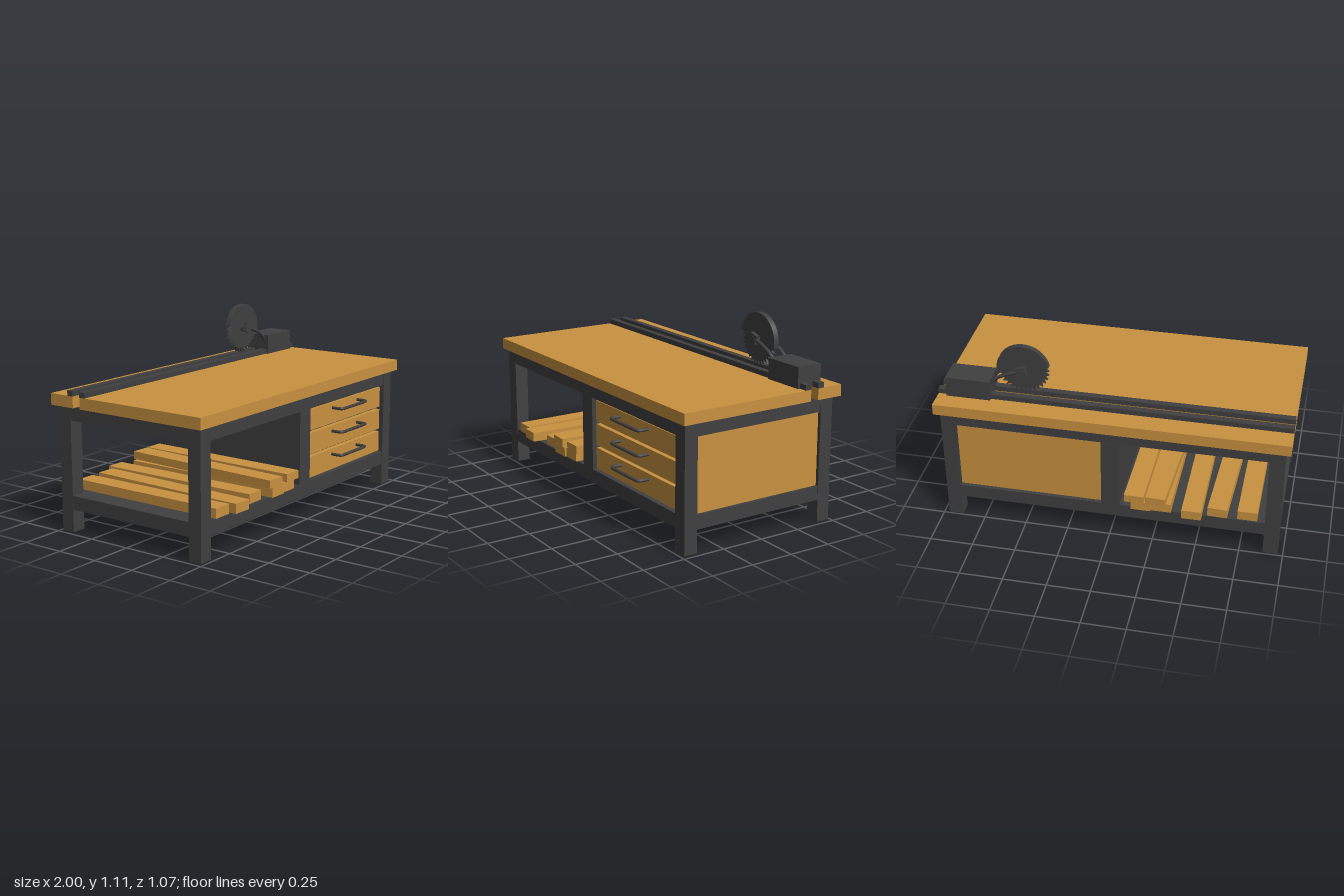
import * as THREE from 'three';

const wood = new THREE.MeshStandardMaterial({ color: 0xc99240 });
const dark = new THREE.MeshStandardMaterial({ color: 0x404040 });

function mesh(name, geometry, material, parent) {
  const m = new THREE.Mesh(geometry, material);
  m.name = name;
  parent.add(m);
  return m;
}

// Box given by its limits on each axis
function box(name, [x0, x1], [y0, y1], [z0, z1], material, parent) {
  const m = mesh(name, new THREE.BoxGeometry(x1 - x0, y1 - y0, z1 - z0), material, parent);
  m.position.set((x0 + x1) / 2, (y0 + y1) / 2, (z0 + z1) / 2);
  return m;
}

function group(name, parent) {
  const g = new THREE.Group();
  g.name = name;
  parent.add(g);
  return g;
}

// Extrusion centred on z = 0
function plate(shape, depth) {
  return new THREE.ExtrudeGeometry(shape, { depth, bevelEnabled: false, curveSegments: 32 })
    .translate(0, 0, -depth / 2);
}

function buildFrame(parent) {
  const frame = group('frame', parent);
  const depth = [-0.49, 0.48];
  for (const x of [[-0.97, -0.885], [0.885, 0.97]])
    for (const z of [[-0.49, -0.41], [0.4, 0.48]]) box('leg', x, [0, 0.715], z, dark, frame);
  box('lowerShelf', [-0.968, 0.968], [0.13, 0.21], [-0.488, 0.478], dark, frame);
  box('upperDeck', [-0.968, 0.968], [0.635, 0.714], [-0.488, 0.478], dark, frame);
  box('divider', [-0.055, 0.05], [0.21, 0.635], depth, dark, frame);
}

function buildCabinet(parent) {
  const cabinet = group('cabinet', parent);
  box('carcass', [0.05, 0.93], [0.21, 0.635], [-0.44, 0.43], dark, cabinet);
  box('sidePanel', [0.93, 0.95], [0.21, 0.635], [-0.41, 0.4], wood, cabinet);
  box('backPanel', [0.05, 0.885], [0.21, 0.635], [-0.465, -0.44], wood, cabinet);
  for (let i = 0; i < 3; i++) {
    const y = 0.28 + i * 0.14;
    const drawer = group('drawer', cabinet);
    box('drawerFront', [0.06, 0.872], [y - 0.062, y + 0.062], [0.43, 0.46], wood, drawer);
    // Bent bar handle
    const points = [[0.32, 0.45], [0.32, 0.505], [0.335, 0.525], [0.46, 0.526], [0.585, 0.525], [0.6, 0.505], [0.6, 0.45]]
      .map(([x, z]) => new THREE.Vector3(x, y + 0.03, z));
    const path = new THREE.CatmullRomCurve3(points, false, 'catmullrom', 0.3);
    mesh('drawerHandle', new THREE.TubeGeometry(path, 40, 0.009, 10), dark, drawer);
  }
}

function buildTop(parent) {
  const top = group('benchTop', parent);
  box('frontSlab', [-1, 1], [0.715, 0.78], [-0.313, 0.505], wood, top);
  box('backSlab', [-1, 1], [0.715, 0.78], [-0.522, -0.362], wood, top);
  for (const z of [[-0.4, -0.362], [-0.313, -0.276]]) box('sawRail', [-1, 1], [0.78, 0.81], z, dark, top);
}

function buildPlanks(parent) {
  const planks = group('planks', parent);
  // centre x, bottom, height, centre z, length, turn
  const list = [
    [-0.785, 0.21, 0.055, 0, 0.96, 0],
    [-0.635, 0.21, 0.055, 0.015, 1.0, -0.04],
    [-0.472, 0.21, 0.055, -0.035, 1.0, 0.005],
    [-0.298, 0.21, 0.055, 0, 1.0, 0],
    [-0.182, 0.21, 0.055, -0.01, 1.0, 0],
    [-0.293, 0.265, 0.047, -0.01, 1.02, -0.053],
    [-0.15, 0.265, 0.047, -0.01, 1.02, -0.012],
  ];
  for (const [x, y, h, z, length, turn] of list) {
    const p = mesh('plank', new THREE.BoxGeometry(0.112, h, length), wood, planks);
    p.position.set(x, y + h / 2, z);
    p.rotation.y = turn;
  }
}

function buildSaw(parent) {
  const saw = group('slidingSaw', parent);
  box('motorHousing', [0.695, 0.95], [0.78, 0.9], [-0.417, -0.262], dark, saw);

  const head = group('sawHead', saw);
  head.position.set(0.515, 0.963, -0.338);

  // Blade with raked teeth
  const teeth = 32;
  const blade = new THREE.Shape();
  for (let i = 0; i < teeth; i++) {
    const a = (i / teeth) * Math.PI * 2;
    const b = a + (Math.PI * 2 / teeth) * 0.85;
    if (i === 0) blade.moveTo(0.122, 0);
    else blade.lineTo(0.122 * Math.cos(a), 0.122 * Math.sin(a));
    blade.lineTo(0.148 * Math.cos(b), 0.148 * Math.sin(b));
  }
  blade.closePath();
  mesh('blade', plate(blade, 0.014), dark, head);

  // Half-round guard over the blade
  const guard = new THREE.Shape();
  guard.absarc(0, 0, 0.15, -0.22, Math.PI - 0.2, false);
  guard.closePath();
  mesh('bladeGuard', plate(guard, 0.032), dark, head);

  // Axle, nuts and the bent arms on both sides
  const axle = mesh('axle', new THREE.CylinderGeometry(0.022, 0.022, 0.11, 16), dark, head);
  axle.rotation.x = Math.PI / 2;
  for (const s of [-1, 1]) {
    const nut = mesh('axleBlock', new THREE.BoxGeometry(0.054, 0.056, 0.024), dark, head);
    nut.position.set(0.002, 0.006, s * 0.042);
    nut.rotation.z = -0.3;
    const path = new THREE.CatmullRomCurve3([[0, 0.008], [0.06, -0.012], [0.13, -0.042], [0.165, -0.068], [0.2, -0.11]]
      .map(([x, y]) => new THREE.Vector3(x, y, s * 0.042)));
    mesh('swingArm', new THREE.TubeGeometry(path, 20, 0.011, 8), dark, head);
  }
}

export function createModel() {
  const model = new THREE.Group();
  model.name = 'workbench';
  buildFrame(model);
  buildCabinet(model);
  buildTop(model);
  buildPlanks(model);
  buildSaw(model);
  return model;
}
